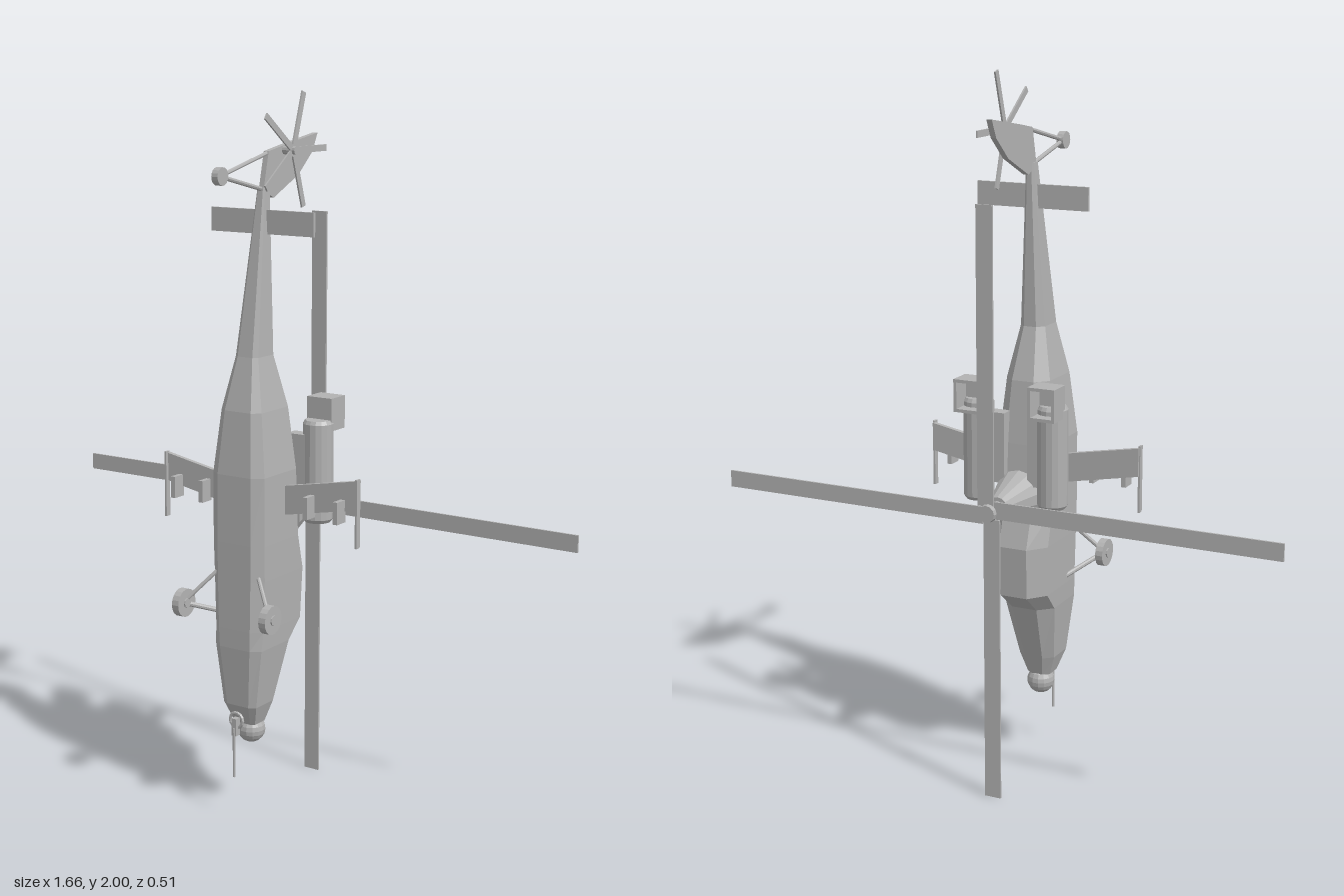
import * as THREE from 'three';

export function createModel() {
  const model = new THREE.Group();
  const grey = new THREE.MeshStandardMaterial({ color: 0xb2b2b2, flatShading: true });
  grey.name = 'hull grey';
  const V = (x, y, z) => new THREE.Vector3(x, y, z);

  const add = (name, geo, x = 0, y = 0, z = 0, parent = model) => {
    const m = new THREE.Mesh(geo, grey);
    m.name = name;
    m.position.set(x, y, z);
    parent.add(m);
    return m;
  };
  const box = (name, w, h, d, x, y, z, parent) => add(name, new THREE.BoxGeometry(w, h, d), x, y, z, parent);

  // Tapered rod between two points
  const rod = (name, a, b, r1, r2 = r1, sides = 8) => {
    const m = add(name, new THREE.CylinderGeometry(r2, r1, a.distanceTo(b), sides));
    m.position.copy(a).lerp(b, 0.5);
    m.quaternion.setFromUnitVectors(V(0, 1, 0), b.clone().sub(a).normalize());
    return m;
  };

  // Loft through rings of [x, y, z] points with capped ends
  const loft = (rings) => {
    const n = rings[0].length, index = [];
    const last = (rings.length - 1) * n;
    for (let i = 0; i < rings.length - 1; i++) {
      for (let j = 0; j < n; j++) {
        const a = i * n + j, b = i * n + (j + 1) % n;
        index.push(a, b, b + n, a, b + n, a + n);
      }
    }
    for (let j = 1; j < n - 1; j++) {
      index.push(0, j + 1, j, last, last + j, last + j + 1);
    }
    const g = new THREE.BufferGeometry();
    g.setAttribute('position', new THREE.Float32BufferAttribute(rings.flat(2), 3));
    g.setIndex(index);
    const flat = g.toNonIndexed();
    flat.computeVertexNormals();
    return flat;
  };

  // Flat polygon in the (x, y) plane, thickened along z and centred
  const plate = (pts, depth) => {
    const shape = new THREE.Shape(pts.map(([x, y]) => new THREE.Vector2(x, y)));
    return new THREE.ExtrudeGeometry(shape, { depth, bevelEnabled: false }).translate(0, 0, -depth / 2);
  };

  // Fuselage and tail boom: y, belly z, top z, half width
  const sections = [
    [0.26, 0.13, 0.062, 0.035], [0.32, 0.157, 0.04, 0.055], [0.49, 0.171, -0.022, 0.077],
    [0.545, 0.172, -0.088, 0.08], [0.69, 0.172, -0.095, 0.084], [0.79, 0.172, -0.064, 0.085],
    [0.98, 0.17, -0.05, 0.085], [1.155, 0.152, -0.03, 0.066], [1.3, 0.117, 0.015, 0.037],
    [1.75, 0.042, 0.01, 0.012],
  ];
  add('fuselage', loft(sections.map(([y, b, t, w]) => {
    const h = b - t;
    const half = [[w * 0.65, b], [w, b - h * 0.1], [w, t + h * 0.2], [w * 0.5, t]];
    return [...half, ...half.slice().reverse().map(([x, z]) => [-x, z])].map(([x, z]) => [x, y, z]);
  })));

  // Nose sensor ball, gun mount and barrel
  add('noseSensor', new THREE.SphereGeometry(0.04, 14, 10), 0, 0.235, 0.09);
  add('gunRing', new THREE.TorusGeometry(0.021, 0.005, 6, 14), 0, 0.28, 0.163);
  box('gunBody', 0.016, 0.05, 0.018, 0, 0.262, 0.167);
  rod('gunBarrel', V(0, 0.26, 0.175), V(0, 0.115, 0.175), 0.004);

  // Rotor mast and hub, pointing to -z
  rod('mastFairing', V(0, 0.835, -0.04), V(0, 0.835, -0.187), 0.077, 0.03, 14);
  rod('mast', V(0, 0.835, -0.18), V(0, 0.835, -0.23), 0.019, 0.019, 12);
  rod('rotorHub', V(0, 0.835, -0.224), V(0, 0.835, -0.255), 0.027, 0.024, 12);

  // Four main blades, each set slightly off the hub line
  for (let i = 0; i < 4; i++) {
    const arm = new THREE.Group();
    arm.name = 'mainBladeArm';
    arm.position.set(0, 0.835, -0.238);
    arm.rotation.z = i * Math.PI / 2;
    box('mainBlade', 0.815, 0.048, 0.006, 0.425, -0.009, 0, arm);
    model.add(arm);
  }

  for (const s of [1, -1]) {
    // Engine pod with rounded intake lip
    const pod = [[0, 0.82], [0.036, 0.82], [0.043, 0.83], [0.043, 1.1], [0.037, 1.11], [0, 1.11]];
    add('enginePod', new THREE.LatheGeometry(pod.map(([x, y]) => new THREE.Vector2(x, y)), 16), s * 0.113, 0, -0.075);
    box('engineMount', 0.06, 0.2, 0.04, s * 0.065, 0.97, -0.055);

    // Square exhaust, open to the rear face
    const frame = new THREE.Shape([[-1, -1], [1, -1], [1, 1], [-1, 1]].map(([x, y]) => new THREE.Vector2(x * 0.04, y * 0.046)));
    frame.holes.push(new THREE.Path([[-1, -1], [-1, 1], [1, 1], [1, -1]].map(([x, y]) => new THREE.Vector2(x * 0.031, y * 0.037))));
    add('exhaustDuct', new THREE.ExtrudeGeometry(frame, { depth: 0.07, bevelEnabled: false }), s * 0.112, 1.125, -0.15);
    box('exhaustBack', 0.08, 0.092, 0.012, s * 0.112, 1.125, -0.086);

    // Swept stub wing with tip rail and pylons
    const pts = [[0.06, 0.855], [0.32, 0.905], [0.32, 0.985], [0.06, 0.937]];
    add('stubWing', plate(pts.map(([x, y]) => [x * s, y]), 0.014), 0, 0, 0.042);
    box('wingTipRail', 0.006, 0.19, 0.017, s * 0.32, 0.895, 0.05);
    for (const x of [0.175, 0.272]) {
      box('weaponPylon', 0.014, 0.062, 0.042, s * x, 0.897, 0.066);
    }

    // Main landing gear
    const hub = V(s * 0.145, 0.61, 0.212);
    rod('mainWheel', V(s * 0.134, 0.61, 0.21), V(s * 0.156, 0.61, 0.21), 0.04, 0.04, 18);
    rod('wheelHub', V(s * 0.13, 0.61, 0.21), V(s * 0.16, 0.61, 0.21), 0.014, 0.014, 10);
    rod('gearStrutFront', hub, V(s * 0.07, 0.56, 0.085), 0.007);
    rod('gearStrutRear', hub, V(s * 0.07, 0.7, 0.155), 0.006);
  }

  // Tailplane and swept fin
  box('tailplane', 0.333, 0.065, 0.009, 0, 1.658, 0.033);
  const fin = plate([[-0.04, 1.74], [0.01, 1.72], [0.13, 1.775], [0.2, 1.835], [0.225, 1.885], [0.07, 1.86], [-0.015, 1.845]], 0.016);
  add('tailFin', fin).rotation.y = Math.PI / 2;

  // Tail wheel on two struts
  rod('tailWheel', V(-0.01, 1.79, 0.228), V(0.01, 1.79, 0.228), 0.024, 0.024, 16);
  rod('tailStrutUpper', V(0, 1.79, 0.228), V(0, 1.84, 0.01), 0.006);
  rod('tailStrutLower', V(0, 1.79, 0.228), V(0, 1.745, 0.035), 0.006);

  // Five-bladed tail rotor on the left side
  rod('tailRotorHub', V(0, 1.845, -0.06), V(0.048, 1.845, -0.06), 0.012, 0.012, 10);
  for (let i = 0; i < 5; i++) {
    const arm = new THREE.Group();
    arm.name = 'tailBladeArm';
    arm.position.set(0.037, 1.845, -0.06);
    arm.rotation.x = i * Math.PI * 2 / 5;
    box('tailBlade', 0.005, 0.018, 0.16, 0, 0, -0.082, arm);
    model.add(arm);
  }

  // Extrusions mirrored in place have their outline rewound, so every part faces outwards
  return model;
}
